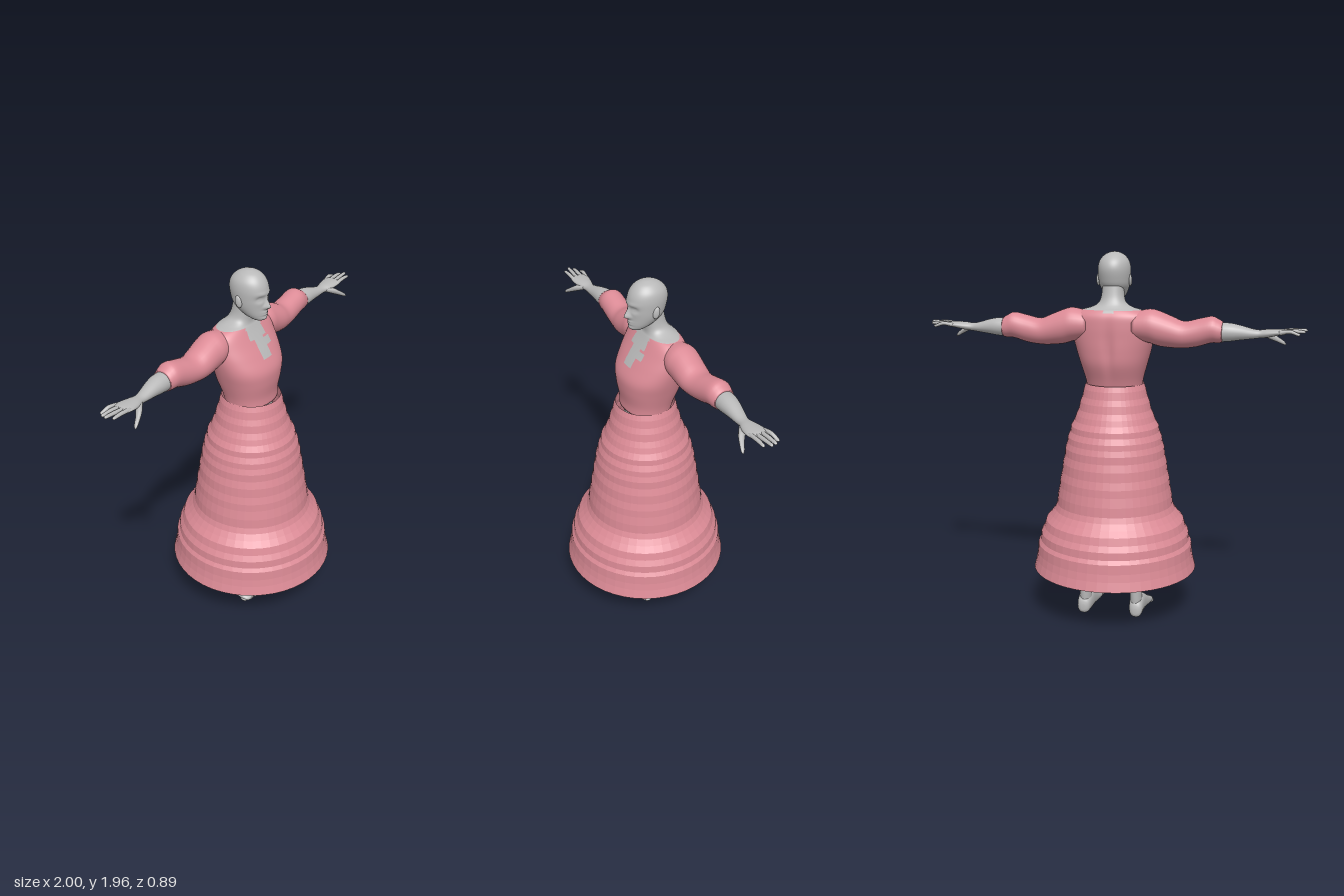
import * as THREE from 'three';

const skin = new THREE.MeshStandardMaterial({ color: 0xb9b9b9 });
skin.name = 'grey skin';
const cloth = new THREE.MeshStandardMaterial({ color: 0xdc8b96, side: THREE.DoubleSide });
cloth.name = 'pink cloth';

const bell = (d, w) => Math.exp(-(d * d) / (w * w));

// Smooth (Catmull-Rom) value between b and c.
function blend(a, b, c, d, t) {
  const cubic = 3 * (b - c) + d - a;
  const square = 2 * a - 5 * b + 4 * c - d;
  return b + 0.5 * t * (c - a + t * (square + t * cubic));
}

// Smoothly resamples a list of key sections.
function resample(keys, steps) {
  const out = [];
  for (let i = 0; i < keys.length - 1; i++) {
    const p0 = keys[Math.max(i - 1, 0)], p1 = keys[i], p2 = keys[i + 1];
    const p3 = keys[Math.min(i + 2, keys.length - 1)];
    for (let s = 0; s < steps; s++) {
      out.push(p1.map((v, k) => blend(p0[k], v, p2[k], p3[k], s / steps)));
    }
  }
  out.push(keys[keys.length - 1]);
  return out;
}

// Closed loft through oval sections [x, y, z, a, b], ordered upward along the axis.
// Radii a, b run along x,z (axis y), y,z (axis x) or x,y (axis z).
function loft(axis, keys, { segs = 20, steps = 4, power = 1, warp, pick } = {}) {
  const rings = resample(keys, steps), pts = [];
  const bend = (v) => Math.sign(v) * Math.pow(Math.abs(v), power);
  for (const [x, y, z, a, b] of rings) {
    for (let j = 0; j < segs; j++) {
      const t = (j / segs) * Math.PI * 2, c = bend(Math.cos(t)), s = bend(Math.sin(t));
      const p = axis === 'y' ? new THREE.Vector3(x + a * s, y, z + b * c)
        : axis === 'x' ? new THREE.Vector3(x, y + a * c, z + b * s)
          : new THREE.Vector3(x + a * c, y + b * s, z);
      if (warp) warp(p);
      pts.push(p);
    }
  }
  const first = rings[0], last = rings[rings.length - 1], n = rings.length;
  pts.push(new THREE.Vector3(...first.slice(0, 3)), new THREE.Vector3(...last.slice(0, 3)));
  const faces = [[], []];
  const mid = new THREE.Vector3();
  for (let j = 0; j < segs; j++) {
    const k = (j + 1) % segs;
    for (let i = 0; i < n - 1; i++) {
      const a = i * segs + j, b = i * segs + k, c = b + segs, d = a + segs;
      mid.copy(pts[a]).add(pts[b]).add(pts[c]).add(pts[d]).divideScalar(4);
      faces[pick ? pick(mid) : 0].push(a, b, c, a, c, d);
    }
    faces[0].push(n * segs, k, j, n * segs + 1, (n - 1) * segs + j, (n - 1) * segs + k);
  }
  const geo = new THREE.BufferGeometry().setFromPoints(pts);
  geo.setIndex([...faces[0], ...faces[1]]);
  geo.computeVertexNormals();
  if (pick) {
    geo.addGroup(0, faces[0].length, 0);
    geo.addGroup(faces[0].length, faces[1].length, 1);
  }
  return geo;
}

function add(parent, name, geo, mat) {
  const mesh = new THREE.Mesh(geo, mat);
  mesh.name = name;
  parent.add(mesh);
  return mesh;
}

// Skirt: banded bell, open below.
function skirtGeometry() {
  const profile = [[0.445, 0.25], [0.432, 0.3], [0.425, 0.34], [0.421, 0.39], [0.408, 0.41], [0.404, 0.45],
    [0.387, 0.48], [0.376, 0.52], [0.35, 0.55], [0.328, 0.58], [0.316, 0.61], [0.311, 0.66], [0.301, 0.71],
    [0.297, 0.75], [0.287, 0.79], [0.282, 0.84], [0.271, 0.88], [0.268, 0.92], [0.258, 0.95], [0.254, 0.98],
    [0.24, 1.01], [0.236, 1.04], [0.218, 1.07], [0.208, 1.1], [0.194, 1.13], [0.186, 1.17], [0.174, 1.2],
    [0.166, 1.24], [0.155, 1.27]];
  const geo = new THREE.LatheGeometry(profile.map((p) => new THREE.Vector2(...p)), 48).toNonIndexed();
  geo.computeVertexNormals();
  return geo;
}

// Face relief: nose, eye sockets, brow, lips and chin.
function shapeFace(p) {
  if (p.z < 0.02) return;
  const x = Math.abs(p.x), { y } = p;
  const nose = y < 1.785 ? bell(y - 1.785, 0.012) : bell(y - 1.785, 0.034);
  p.z += 0.03 * bell(x, 0.006 + 0.009 * bell(y - 1.78, 0.02)) * nose;
  p.z -= 0.014 * bell(x - 0.034, 0.018) * bell(y - 1.828, 0.014);
  p.z += 0.006 * bell(x - 0.034, 0.011) * bell(y - 1.826, 0.007);
  p.z += 0.005 * bell(x - 0.025, 0.03) * bell(y - 1.853, 0.01);
  p.z += 0.008 * bell(x, 0.022) * (bell(y - 1.757, 0.005) + bell(y - 1.744, 0.005));
  p.z += 0.006 * bell(x, 0.025) * bell(y - 1.722, 0.01);
}

// Bodice colouring: open collar with a stepped slit at the breast.
function bodiceColour({ x, y, z }) {
  const w = Math.abs(x);
  if (y > 1.662 || (z < -0.06 && w < 0.03 && y > 1.65)) return 1;
  if (z < -0.06) return 0;
  const slit = (w < 0.06 && y > 1.6) || (w < 0.036 && y > 1.51) || (x > 0 && x < 0.075 && y > 1.555 && y < 1.59);
  return slit ? 1 : 0;
}

function buildArm() {
  const arm = new THREE.Group();
  add(arm, 'sleeve', loft('x', [
    [0.12, 1.585, -0.09, 0.07, 0.078], [0.2, 1.585, -0.088, 0.087, 0.09], [0.25, 1.573, -0.088, 0.09, 0.088],
    [0.32, 1.555, -0.085, 0.08, 0.083], [0.38, 1.544, -0.088, 0.069, 0.075], [0.45, 1.556, -0.09, 0.071, 0.07],
    [0.52, 1.574, -0.093, 0.068, 0.068], [0.555, 1.568, -0.094, 0.061, 0.062], [0.578, 1.563, -0.095, 0.052, 0.055],
  ], { segs: 28 }), cloth);
  add(arm, 'forearmAndPalm', loft('x', [
    [0.5, 1.56, -0.095, 0.05, 0.05], [0.6, 1.563, -0.094, 0.048, 0.051], [0.66, 1.562, -0.09, 0.039, 0.044],
    [0.72, 1.557, -0.083, 0.027, 0.034], [0.76, 1.556, -0.078, 0.021, 0.029], [0.8, 1.56, -0.074, 0.021, 0.041],
    [0.85, 1.566, -0.073, 0.017, 0.05], [0.885, 1.568, -0.074, 0.013, 0.049], [0.898, 1.568, -0.074, 0.006, 0.044],
  ], { segs: 24 }), skin);
  // Fingers: [root z, tip x, tip y, tip z]
  for (const [z0, x, y, z1] of [[-0.112, 0.965, 1.562, -0.125], [-0.087, 0.99, 1.572, -0.093],
    [-0.062, 1.0, 1.578, -0.064], [-0.037, 0.98, 1.574, -0.034]]) {
    add(arm, 'finger', loft('x', [[0.86, 1.567, z0, 0.01, 0.011], [(0.86 + x) / 2, 1.575, (z0 + z1) / 2, 0.01, 0.011],
      [x - 0.014, y + 0.001, z1, 0.008, 0.009], [x - 0.004, y, z1, 0.005, 0.006], [x, y, z1, 0.001, 0.001]],
    { segs: 10 }), skin);
  }
  add(arm, 'thumb', loft('x', [[0.775, 1.555, -0.055, 0.012, 0.014], [0.815, 1.542, -0.03, 0.018, 0.02],
    [0.85, 1.522, -0.008, 0.014, 0.014], [0.88, 1.504, 0.006, 0.01, 0.01], [0.892, 1.496, 0.012, 0.002, 0.002]],
  { segs: 12 }), skin);
  return arm;
}

function buildLeg() {
  const leg = new THREE.Group();
  add(leg, 'leg', loft('y', [
    [0.143, 0.04, -0.1, 0.034, 0.045], [0.14, 0.12, -0.105, 0.032, 0.045], [0.138, 0.25, -0.1, 0.037, 0.051],
    [0.13, 0.38, -0.098, 0.051, 0.06], [0.121, 0.5, -0.08, 0.05, 0.055], [0.115, 0.57, -0.07, 0.055, 0.06],
    [0.1, 0.75, -0.05, 0.073, 0.08], [0.088, 0.95, -0.03, 0.084, 0.1], [0.08, 1.05, -0.02, 0.07, 0.095],
  ], { segs: 24 }), skin);
  add(leg, 'foot', loft('z', [
    [0.145, 0.036, -0.157, 0.012, 0.016], [0.145, 0.045, -0.143, 0.034, 0.043], [0.143, 0.058, -0.09, 0.041, 0.058],
    [0.143, 0.053, -0.03, 0.044, 0.053], [0.144, 0.036, 0.03, 0.051, 0.036], [0.145, 0.024, 0.08, 0.055, 0.023],
    [0.145, 0.018, 0.108, 0.048, 0.016], [0.143, 0.015, 0.12, 0.035, 0.01],
  ], { segs: 24, power: 0.85 }), skin);
  for (let i = 0; i < 5; i++) {
    const toe = add(leg, 'toe', new THREE.SphereGeometry(1, 12, 8), skin);
    const r = i ? 0.011 : 0.016;
    toe.position.set(0.106 + i * 0.0215, r + 0.002, 0.12 - i * 0.008);
    toe.scale.set(r, r, 0.022);
  }
  return leg;
}

export function createModel() {
  const model = new THREE.Group();
  model.name = 'woman in dress';
  add(model, 'skirt', skirtGeometry(), cloth);

  // Bodice, shoulders and neck share one surface; the spine is grooved.
  add(model, 'bodiceAndNeck', loft('y', [
    [0, 1.25, 0, 0.147, 0.125], [0, 1.3, -0.008, 0.155, 0.133], [0, 1.38, -0.017, 0.178, 0.154],
    [0, 1.45, -0.022, 0.198, 0.157], [0, 1.52, -0.041, 0.212, 0.139], [0, 1.58, -0.06, 0.215, 0.12],
    [0, 1.63, -0.073, 0.208, 0.102], [0, 1.66, -0.073, 0.165, 0.085], [0, 1.675, -0.068, 0.112, 0.073],
    [0, 1.695, -0.06, 0.075, 0.064], [0, 1.73, -0.05, 0.06, 0.058], [0, 1.79, -0.04, 0.055, 0.055],
  ], {
    segs: 96,
    steps: 5,
    power: 0.9,
    warp: (p) => { if (p.z < -0.06) p.z += 0.014 * bell(p.x, 0.025) * bell(p.y - 1.45, 0.12); },
    pick: bodiceColour,
  }), [cloth, skin]);

  add(model, 'hips', loft('y', [[0, 0.93, -0.03, 0.07, 0.06], [0, 0.98, -0.025, 0.145, 0.11],
    [0, 1.1, -0.015, 0.15, 0.115], [0, 1.26, 0, 0.13, 0.1]]), skin);

  add(model, 'head', loft('y', [
    [0, 1.706, 0.052, 0.016, 0.018], [0, 1.715, 0.045, 0.036, 0.038], [0, 1.74, 0.022, 0.058, 0.066],
    [0, 1.78, -0.002, 0.076, 0.091], [0, 1.82, -0.009, 0.083, 0.101], [0, 1.87, -0.013, 0.085, 0.105],
    [0, 1.91, -0.014, 0.076, 0.091], [0, 1.94, -0.012, 0.051, 0.061], [0, 1.954, -0.01, 0.022, 0.026],
    [0, 1.957, -0.01, 0.004, 0.005],
  ], { segs: 96, steps: 7, warp: shapeFace }), skin);

  for (const side of [1, -1]) {
    const half = new THREE.Group();
    half.name = side > 0 ? 'leftLimbs' : 'rightLimbs';
    const arm = buildArm(), leg = buildLeg();
    arm.name = 'arm';
    leg.name = 'legAndFoot';
    half.add(arm, leg);
    const ear = add(half, 'ear', new THREE.SphereGeometry(1, 14, 10), skin);
    ear.position.set(0.084, 1.812, -0.015);
    ear.scale.set(0.01, 0.032, 0.018);
    ear.rotation.set(-0.2, -0.3, 0);
    half.scale.x = side;
    model.add(half);
  }
  return model;
}
